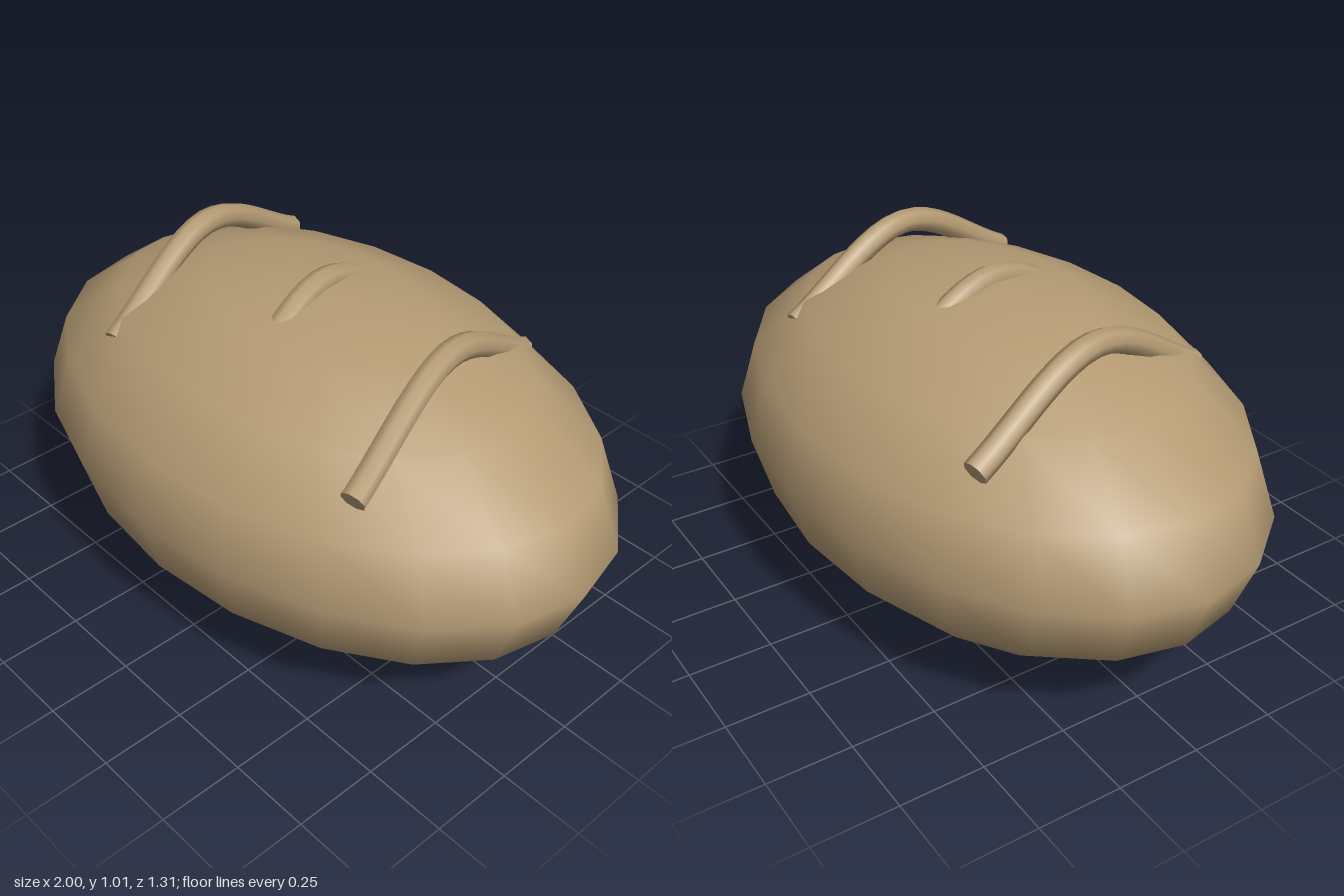
import * as THREE from 'three';

export function createModel() {
  const model = new THREE.Group();
  const crust = new THREE.MeshStandardMaterial({ color: 0xb59b74 });
  crust.name = 'crust';

  // Loaf: a stretched, low-segment ellipsoid with smooth shading
  const loaf = new THREE.Mesh(new THREE.SphereGeometry(1, 20, 8), crust);
  loaf.name = 'loaf';
  loaf.scale.set(1, 0.486, 0.655);
  loaf.position.y = 0.489;
  model.add(loaf);

  // Ridges: three slanted arched rolls laid across the top
  const radius = 0.037;
  const arch = new THREE.CatmullRomCurve3([
    new THREE.Vector3(-0.083, 0.773, -0.41),
    new THREE.Vector3(0, 0.973, 0),
    new THREE.Vector3(0.083, 0.773, 0.41),
  ]);
  const tube = new THREE.TubeGeometry(arch, 20, radius, 8, false);
  const cap = new THREE.CircleGeometry(radius, 8);

  ['rightRidge', 'middleRidge', 'leftRidge'].forEach((name, i) => {
    const ridge = new THREE.Group();
    ridge.name = name;
    ridge.position.x = (i - 1) * 0.488;
    const roll = new THREE.Mesh(tube, crust);
    roll.name = 'ridgeRoll';
    ridge.add(roll);
    // Flat ends facing outward along the arch
    for (const t of [0, 1]) {
      const end = new THREE.Mesh(cap, crust);
      end.name = 'ridgeEnd';
      const outward = arch.getTangent(t).multiplyScalar(t ? 1 : -1);
      end.position.copy(arch.getPoint(t));
      end.quaternion.setFromUnitVectors(new THREE.Vector3(0, 0, 1), outward);
      ridge.add(end);
    }
    model.add(ridge);
  });

  return model;
}
